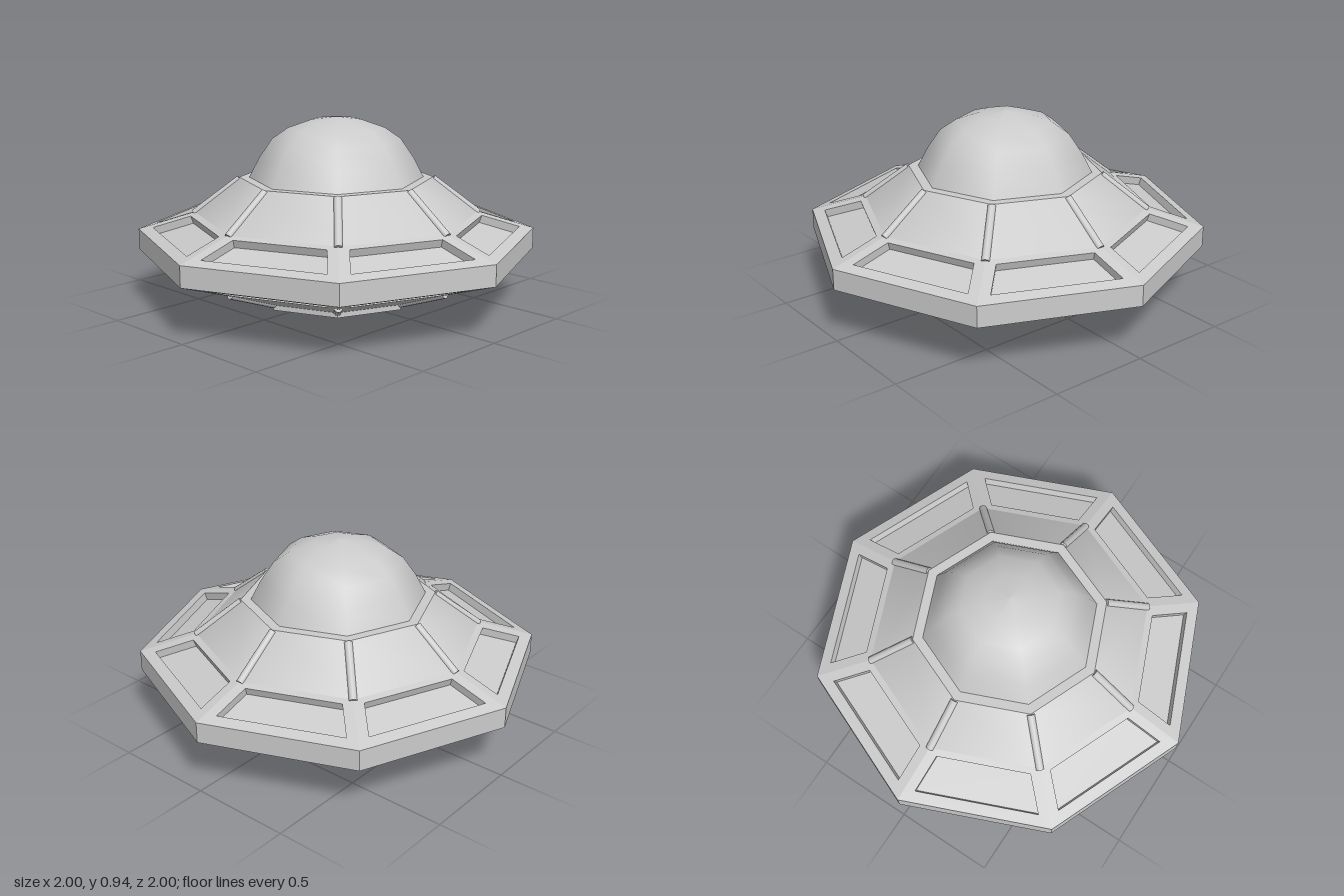
import * as THREE from 'three';

const SIDES = 8;
const STEP = (Math.PI * 2) / SIDES;
const APOTHEM = Math.cos(STEP / 2);
const smooth = new THREE.MeshStandardMaterial({ color: 0xcccccc });
const flat = new THREE.MeshStandardMaterial({ color: 0xcccccc, flatShading: true });

function add(parent, name, geometry, material) {
  const mesh = new THREE.Mesh(geometry, material);
  mesh.name = name;
  parent.add(mesh);
  return mesh;
}

// Octagonal turned shell; the profile runs from the bottom outwards and up
function shell(parent, name, profile, material) {
  const points = profile.map(([r, y]) => new THREE.Vector2(r, y));
  return add(parent, name, new THREE.LatheGeometry(points, SIDES), material);
}

// One sloped sector of the disc with a sunken window; up is 1 on top, -1 below
function windowSector(outer, inner, depth, up) {
  const [a0, a1] = [outer[0] * APOTHEM, inner[0] * APOTHEM];
  const heightAt = a => outer[1] + ((inner[1] - outer[1]) * (a - a0)) / (a1 - a0);
  const half = Math.tan(STEP / 2);
  const corners = (far, near, gap) => [[far, -1], [far, 1], [near, 1], [near, -1]].map(
    ([a, s]) => new THREE.Vector3(s * (a * half - gap), heightAt(a), a));
  const edge = corners(a0, a1, 0);
  const hole = corners(0.869, 0.693, 0.054);
  const normal = new THREE.Vector3(0, a0 - a1, inner[1] - outer[1]).normalize();
  if (up < 0) normal.set(0, -(a0 - a1), outer[1] - inner[1]).normalize();
  const floor = hole.map(p => p.clone().addScaledVector(normal, -depth));

  const positions = [];
  const quad = (a, b, c, d) => {
    const order = up > 0 ? [a, b, c, a, c, d] : [a, c, b, a, d, c];
    order.forEach(p => positions.push(p.x, p.y, p.z));
  };
  for (let i = 0; i < 4; i++) {
    const j = (i + 1) % 4;
    quad(edge[i], edge[j], hole[j], hole[i]);
    quad(hole[i], hole[j], floor[j], floor[i]);
  }
  quad(...floor);
  const geometry = new THREE.BufferGeometry();
  geometry.setAttribute('position', new THREE.Float32BufferAttribute(positions, 3));
  geometry.computeVertexNormals();
  return geometry;
}

// Round rib lying along a corner of the hull, from one [radius, height] to another
function ribGeometry(from, to) {
  const a = new THREE.Vector3(0, from[1], from[0]);
  const b = new THREE.Vector3(0, to[1], to[0]);
  const dir = b.clone().sub(a);
  const geometry = new THREE.CylinderGeometry(0.02, 0.02, dir.length(), 10);
  geometry.applyQuaternion(new THREE.Quaternion().setFromUnitVectors(
    new THREE.Vector3(0, 1, 0), dir.normalize()));
  const mid = a.add(b).multiplyScalar(0.5);
  return geometry.translate(mid.x, mid.y, mid.z);
}

export function createModel() {
  const saucer = new THREE.Group();
  saucer.name = 'saucer';

  // Hull: dome, collar, slopes and rim
  shell(saucer, 'dome', [[0.437, 0.635], [0.385, 0.735], [0.32, 0.83], [0.24, 0.885],
    [0.125, 0.925], [0, 0.94]], smooth);
  shell(saucer, 'collar', [[0.487, 0.635], [0.43, 0.635]], flat);
  shell(saucer, 'upperSlope', [[0.715, 0.457], [0.487, 0.635]], smooth);
  shell(saucer, 'rim', [[1, 0.265], [1, 0.37]], flat);
  shell(saucer, 'lowerSlope', [[0.435, 0.06], [0.715, 0.166]], smooth);

  // Underside: stepped lip, groove and hollow ring
  shell(saucer, 'baseLip', [[0.38, 0.075], [0.38, 0.035], [0.437, 0.035], [0.437, 0.062]], flat);
  shell(saucer, 'baseGroove', [[0.29, 0.075], [0.38, 0.075]], flat);
  shell(saucer, 'baseRing', [[0.265, 0.1], [0.265, 0], [0.302, 0], [0.302, 0.075]], flat);
  shell(saucer, 'baseFloor', [[0, 0.1], [0.265, 0.1]], flat);

  // Windowed sectors and corner ribs, above and below
  const upperSector = windowSector([1, 0.37], [0.715, 0.457], 0.04, 1);
  const lowerSector = windowSector([1, 0.265], [0.715, 0.166], 0.05, -1);
  const upperRib = ribGeometry([0.483, 0.626], [0.715, 0.45]);
  const lowerRib = ribGeometry([0.435, 0.066], [0.71, 0.17]);
  for (let i = 0; i < SIDES; i++) {
    const sector = new THREE.Group();
    sector.name = 'windowSector';
    sector.rotation.y = (i + 0.5) * STEP;
    add(sector, 'upperWindow', upperSector, flat);
    add(sector, 'lowerWindow', lowerSector, flat);
    const ribs = new THREE.Group();
    ribs.name = 'cornerRibs';
    ribs.rotation.y = i * STEP;
    add(ribs, 'upperRib', upperRib, smooth);
    add(ribs, 'lowerRib', lowerRib, smooth);
    saucer.add(sector, ribs);
  }
  return saucer;
}
